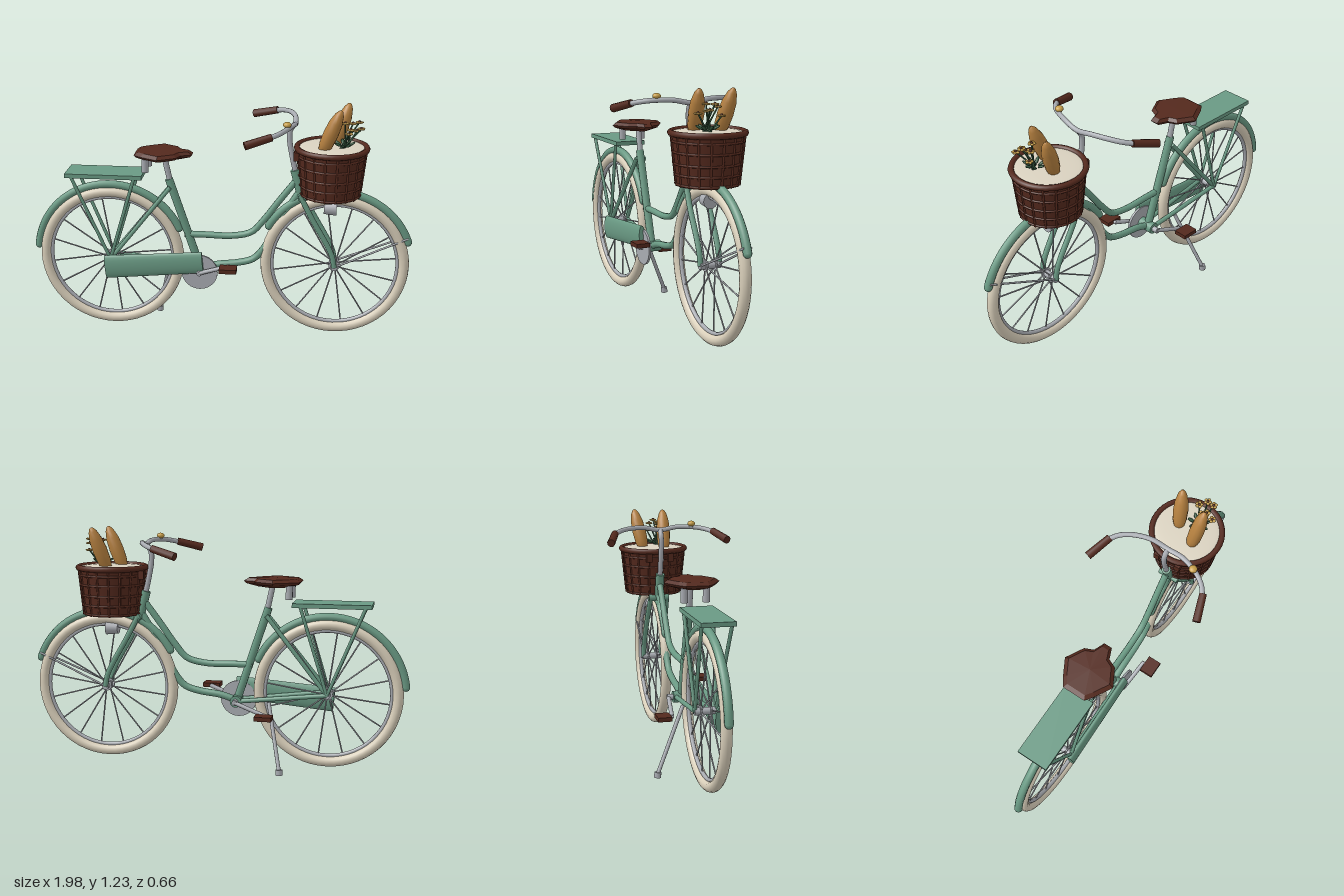
import * as THREE from 'three';

const mat = (name, color) => Object.assign(new THREE.MeshStandardMaterial({ color }), { name });
const V = (a) => new THREE.Vector3(...a);

export function createModel() {
  const green = mat('frame green', 0x6a9a84), cream = mat('tyre cream', 0xd9cfba);
  const metal = mat('brushed metal', 0xa9acb2), brown = mat('leather brown', 0x54291d);
  const crust = mat('bread crust', 0xb5803f), gold = mat('brass gold', 0xc9a04a);
  const leaf = mat('stem green', 0x35593f), cloth = mat('lining cloth', 0xdad2c0);

  const root = new THREE.Group();
  root.name = 'bicycle';
  const group = (name, parent = root) => {
    const g = new THREE.Group();
    g.name = name;
    parent.add(g);
    return g;
  };
  const add = (name, geo, m, pos = [0, 0, 0], parent = root) => {
    const mesh = new THREE.Mesh(geo, m);
    mesh.name = name;
    mesh.position.set(...pos);
    parent.add(mesh);
    return mesh;
  };
  // Straight bar between two points
  const bar = (name, a, b, r, m, parent = root, r2 = r, sides = 10) => {
    const d = V(b).sub(V(a));
    const mesh = add(name, new THREE.CylinderGeometry(r2, r, d.length(), sides), m, [0, 0, 0], parent);
    mesh.position.copy(V(a)).addScaledVector(d, 0.5);
    mesh.quaternion.setFromUnitVectors(new THREE.Vector3(0, 1, 0), d.normalize());
    return mesh;
  };
  // Bent tube through points
  const tube = (name, pts, r, m, parent = root) => {
    const curve = new THREE.CatmullRomCurve3(pts.map(V), false, 'centripetal');
    return add(name, new THREE.TubeGeometry(curve, 28, r, 10), m, [0, 0, 0], parent);
  };
  const zDisc = (name, r, len, m, pos, parent = root) => {
    const mesh = add(name, new THREE.CylinderGeometry(r, r, len, 24), m, pos, parent);
    mesh.rotation.x = Math.PI / 2;
    return mesh;
  };

  const HY = 0.393, RX = -0.58, FX = 0.593;

  // Wheels
  for (const [name, x] of [['rearWheel', RX], ['frontWheel', FX]]) {
    const w = group(name);
    w.position.set(x, HY, 0);
    add('tyre', new THREE.TorusGeometry(0.357, 0.028, 12, 56), cream, [0, 0, 0], w);
    add('rim', new THREE.TorusGeometry(0.327, 0.011, 8, 56), metal, [0, 0, 0], w);
    zDisc('hub', 0.018, 0.11, metal, [0, 0, 0], w);
    for (const s of [-1, 1]) zDisc('hubFlange', 0.028, 0.008, metal, [0, 0, s * 0.025], w);
    for (let i = 0; i < 16; i++) {
      const a = (i + 0.35) * Math.PI / 8, z = i % 2 ? 0.024 : -0.024;
      bar('spoke', [0.02 * Math.cos(a), 0.02 * Math.sin(a), z],
        [0.325 * Math.cos(a), 0.325 * Math.sin(a), 0], 0.004, metal, w, 0.004, 5);
    }
  }

  // Mudguards
  const mudguard = (name, x, from, to) => {
    const a = from * Math.PI / 180, arc = (to - from) * Math.PI / 180;
    const g = add(name, new THREE.TorusGeometry(0.397, 0.021, 10, 40, arc), green, [x, HY, 0]);
    g.rotation.z = a;
    for (const t of [a, a + arc]) {
      const cap = add('mudguardTip', new THREE.SphereGeometry(0.021, 10, 8), green,
        [x + 0.397 * Math.cos(t), HY + 0.397 * Math.sin(t), 0]);
      cap.scale.setScalar(0.99);
    }
  };
  mudguard('rearMudguard', RX, 25, 173);
  mudguard('frontMudguard', FX, 20, 150);

  // Frame
  const frame = group('frame');
  const BB = [-0.107, 0.338];
  bar('seatTube', [...BB, 0], [-0.27, 0.83, 0], 0.021, green, frame);
  tube('topTube', [[-0.19, 0.53, 0], [-0.08, 0.53, 0], [0.06, 0.53, 0], [0.16, 0.555, 0], [0.22, 0.62, 0],
    [0.30, 0.73, 0], [0.39, 0.85, 0]], 0.017, green, frame);
  tube('downTube', [[...BB, 0], [-0.02, 0.365, 0], [0.09, 0.38, 0], [0.17, 0.405, 0], [0.22, 0.46, 0],
    [0.31, 0.63, 0], [0.40, 0.78, 0]], 0.018, green, frame);
  bar('headTube', [0.42, 0.74, 0], [0.377, 0.9, 0], 0.024, green, frame);
  zDisc('bottomBracket', 0.03, 0.09, green, [...BB, 0], frame);
  zDisc('crankAxle', 0.015, 0.15, metal, [...BB, 0], frame);
  bar('forkCrown', [0.415, 0.765, -0.055], [0.415, 0.765, 0.055], 0.019, green, frame);
  for (const s of [-1, 1]) {
    bar('seatStay', [-0.262, 0.79, s * 0.022], [RX, HY, s * 0.048], 0.011, green, frame);
    bar('chainStay', [BB[0], BB[1], s * 0.03], [RX, HY, s * 0.048], 0.012, green, frame);
    tube('forkLeg', [[0.412, 0.77, s * 0.045], [0.475, 0.65, s * 0.05], [0.555, 0.51, s * 0.05],
      [0.582, 0.45, s * 0.05], [FX, HY, s * 0.05]], 0.014, green, frame);
    bar('mudguardStay', [FX, HY, s * 0.048], [0.965, 0.555, s * 0.018], 0.005, metal, frame);
  }

  // Rear rack
  const rack = group('rearRack');
  add('rackPlate', new THREE.BoxGeometry(0.4, 0.022, 0.165), green, [-0.6, 0.853, 0], rack);
  for (const s of [-1, 1]) for (const x of [-0.77, -0.44])
    bar('rackLeg', [x, 0.85, s * 0.072], [RX, HY, s * 0.052], 0.009, green, rack);

  // Saddle: ring outline from nose round the back, with a domed section
  const saddle = group('saddle');
  const half = [[0.155, 0.022], [0.1, 0.045], [0.08, 0.09], [-0.01, 0.14], [-0.1, 0.09], [-0.14, 0.06]];
  const outline = [...half.map(([x, z]) => [x, -z]), ...half.slice().reverse()];
  outline.push(outline[0]);
  const section = [[0, 0.932], [0.5, 0.938], [0.92, 0.955], [1, 0.968], [0.85, 0.983], [0, 0.988]];
  let seatGeo = new THREE.LatheGeometry(section.map((p) => new THREE.Vector2(...p)), outline.length - 1);
  const sp = seatGeo.attributes.position;
  outline.forEach(([x, z], i) => section.forEach(([r, y], j) => {
    sp.setXYZ(i * section.length + j, x * r - 0.3, y, z * r);
  }));
  seatGeo = seatGeo.toNonIndexed();
  seatGeo.computeVertexNormals();
  add('seat', seatGeo, brown, [0, 0, 0], saddle);
  bar('seatPost', [-0.262, 0.81, 0], [-0.292, 0.95, 0], 0.015, metal, saddle);
  for (const s of [-1, 1])
    bar('seatSpring', [-0.383, 0.88, s * 0.055], [-0.383, 0.95, s * 0.055], 0.018, metal, saddle);

  // Chain guard and drive
  const drive = group('drivetrain');
  const guard = bar('chainGuard', [-0.607, 0.35, 0.062], [-0.09, 0.396, 0.062], 0.064, green, drive, 0.059, 20);
  guard.scale.z = 0.3;
  zDisc('chainring', 0.095, 0.012, metal, [...BB, 0.05], drive);
  for (const [s, x, y] of [[1, 0.05, 0.392], [-1, -0.268, 0.28]]) {
    bar('crank', [BB[0], BB[1], s * 0.068], [x, y, s * 0.088], 0.011, metal, drive);
    bar('pedalAxle', [x, y, s * 0.08], [x, y, s * 0.13], 0.008, metal, drive);
    add('pedal', new THREE.BoxGeometry(0.09, 0.022, 0.072), brown, [x, y, s * 0.132], drive);
  }

  // Kickstand
  const stand = group('kickstand');
  bar('standLeg', [-0.28, 0.34, -0.035], [-0.358, 0.02, -0.182], 0.01, metal, stand);
  bar('standFoot', [-0.36, 0, -0.184], [-0.358, 0.028, -0.182], 0.018, metal, stand);

  // Handlebar, grips and bell
  const steering = group('steering');
  tube('stem', [[0.385, 0.87, 0], [0.36, 0.98, 0], [0.347, 1.06, 0], [0.35, 1.11, 0], [0.374, 1.143, 0]],
    0.014, metal, steering);
  const side = [[0.37, 1.158, 0.09], [0.34, 1.158, 0.18], [0.305, 1.15, 0.235], [0.26, 1.138, 0.272]];
  const mirror = side.map(([x, y, z]) => [x, y, -z]).reverse();
  tube('handlebar', [...mirror, [0.376, 1.143, 0], ...side], 0.0125, metal, steering);
  for (const s of [-1, 1])
    bar('grip', [0.272, 1.142, s * 0.267], [0.145, 1.108, s * 0.312], 0.019, brown, steering, 0.021);
  bar('bellBase', [0.34, 1.16, 0.165], [0.34, 1.176, 0.165], 0.012, metal, steering);
  const bell = add('bell', new THREE.SphereGeometry(0.021, 14, 10), gold, [0.34, 1.178, 0.165], steering);
  bell.scale.y = 0.7;

  // Headlamp
  bar('headlamp', [0.53, 0.70, 0], [0.595, 0.70, 0], 0.03, metal, root, 0.037, 16);
  bar('lampBracket', [0.56, 0.71, 0], [0.56, 0.78, 0], 0.01, metal);

  // Basket
  const basket = group('basket');
  basket.position.set(0.56, 0, 0);
  const y0 = 0.775, y1 = 1.025, r0 = 0.15, r1 = 0.176;
  const rAt = (y) => r0 + (r1 - r0) * (y - y0) / (y1 - y0);
  add('basketWall', new THREE.CylinderGeometry(r1, r0, y1 - y0, 32), brown, [0, (y0 + y1) / 2, 0], basket);
  const ring = (name, y, r, t) => {
    const m = add(name, new THREE.TorusGeometry(r, t, 8, 40), brown, [0, y, 0], basket);
    m.rotation.x = Math.PI / 2;
  };
  ring('basketRim', 1.022, 0.176, 0.015);
  for (const y of [0.783, 0.83, 0.88, 0.935, 0.985]) ring('basketBand', y, rAt(y), 0.006);
  for (let i = 0; i < 18; i++) {
    const a = i * Math.PI / 9, c = Math.cos(a), s = Math.sin(a);
    bar('basketRib', [r0 * c, y0, r0 * s], [r1 * c, y1, r1 * s], 0.006, brown, basket, 0.006, 6);
  }
  const lining = add('lining', new THREE.SphereGeometry(0.166, 28, 6, 0, Math.PI * 2, 0, Math.PI / 2),
    cloth, [0, 1.024, 0], basket);
  lining.scale.y = 0.06;
  for (const s of [-1, 1])
    add('strap', new THREE.BoxGeometry(0.028, 0.045, 0.03), brown, [-0.175, 0.99, s * 0.06], basket);

  // Loaves
  const loafProfile = [[0, 0], [0.024, 0.02], [0.035, 0.07], [0.038, 0.13], [0.034, 0.19], [0.022, 0.235], [0.01, 0.255], [0, 0.26]];
  for (const [a, b] of [[[0.505, 0.99, 0.052], [0.6, 1.23, 0.064]], [[0.56, 0.99, -0.048], [0.645, 1.235, -0.09]]]) {
    const loaf = add('loaf', new THREE.LatheGeometry(loafProfile.map((p) => new THREE.Vector2(...p)), 12), crust, a);
    loaf.quaternion.setFromUnitVectors(new THREE.Vector3(0, 1, 0), V(b).sub(V(a)).normalize());
  }

  // Flower bunch
  const flowers = group('flowers');
  const heads = [[0.69, 1.165, 0.03], [0.66, 1.15, 0.0], [0.7, 1.14, 0.06], [0.64, 1.12, 0.09],
    [0.62, 1.16, 0.04], [0.68, 1.11, -0.01], [0.65, 1.13, 0.05]];
  heads.forEach(([x, y, z], i) => {
    bar('stem', [0.6 + i * 0.006, 1.03, 0.045 - i * 0.004], [x, y, z], 0.005, leaf, flowers, 0.004, 6);
    for (let k = 0; k < 5; k++) {
      const a = k * Math.PI * 0.4 + i;
      const p = add('petal', new THREE.SphereGeometry(0.009, 6, 5), gold,
        [x + 0.012 * Math.cos(a), y, z + 0.012 * Math.sin(a)], flowers);
      p.scale.y = 0.6;
    }
    add('flowerCentre', new THREE.SphereGeometry(0.007, 6, 5), brown, [x, y + 0.004, z], flowers);
    const l = add('leaf', new THREE.SphereGeometry(0.022, 8, 5), leaf,
      [0.62 + 0.035 * Math.cos(i * 0.9), 1.052, 0.03 + 0.04 * Math.sin(i * 0.9)], flowers);
    l.scale.set(1, 0.3, 0.4);
    l.rotation.set(0, -i * 0.9, 0.5);
  });
  return root;
}
